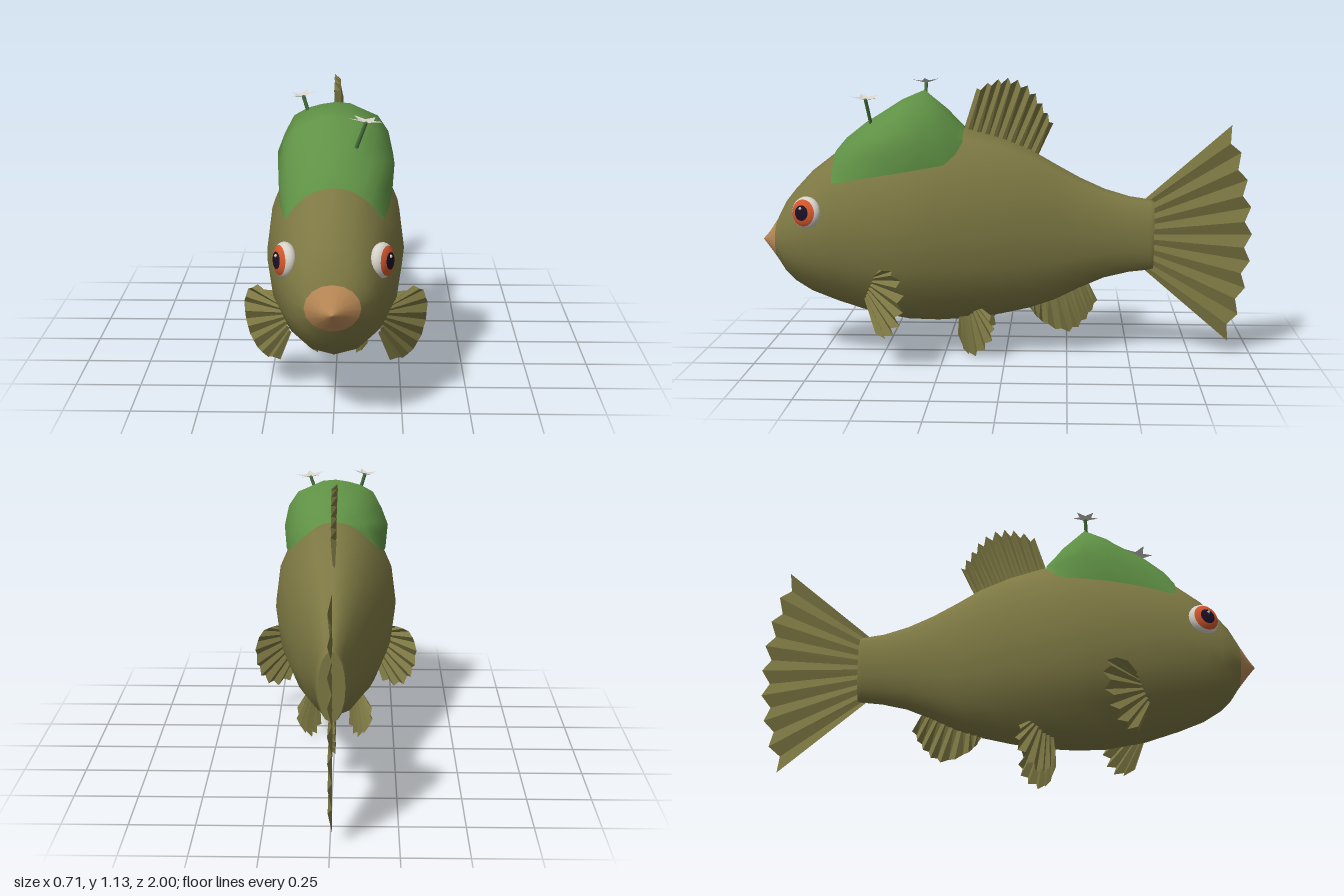
import * as THREE from 'three';
import { mergeVertices } from 'three/addons/utils/BufferGeometryUtils.js';

const mat = (name, color, side = THREE.DoubleSide) => {
  const m = new THREE.MeshStandardMaterial({ color, side });
  m.name = name;
  return m;
};
const V = (x, y, z) => new THREE.Vector3(x, y, z);

// Body stations from nose to tail: z, top, bottom, half width
const STATIONS = [
  [1.0, 0.472, 0.468, 0.002], [0.975, 0.5, 0.44, 0.04], [0.935, 0.56, 0.39, 0.1],
  [0.9, 0.63, 0.335, 0.135], [0.86, 0.68, 0.295, 0.162], [0.79, 0.755, 0.25, 0.192],
  [0.69, 0.832, 0.21, 0.222], [0.55, 0.89, 0.165, 0.25], [0.4, 0.935, 0.138, 0.26],
  [0.28, 0.945, 0.135, 0.255], [0.15, 0.925, 0.143, 0.236], [0.02, 0.89, 0.163, 0.207],
  [-0.1, 0.843, 0.19, 0.172], [-0.2, 0.785, 0.225, 0.138], [-0.3, 0.73, 0.275, 0.108],
  [-0.4, 0.685, 0.318, 0.085], [-0.5, 0.655, 0.342, 0.066], [-0.585, 0.642, 0.352, 0.06],
  [-0.6, 0.635, 0.357, 0.052],
];

// Ellipse of the body at a given z
function section(z) {
  let i = 0;
  while (i < STATIONS.length - 2 && STATIONS[i + 1][0] > z) i++;
  const a = STATIONS[i], b = STATIONS[i + 1];
  const t = (z - a[0]) / (b[0] - a[0]);
  const [top, bottom, w] = [1, 2, 3].map((k) => a[k] + (b[k] - a[k]) * t);
  return { c: (top + bottom) / 2, h: (top - bottom) / 2, w };
}

// Smooth surface through rows of points
function grid(rows) {
  const n = rows[0].length, index = [];
  for (let i = 0; i < rows.length - 1; i++) {
    for (let j = 0; j < n - 1; j++) {
      const a = i * n + j, c = a + n;
      index.push(a, c, a + 1, a + 1, c, c + 1);
    }
  }
  const g = new THREE.BufferGeometry().setFromPoints(rows.flat());
  g.setIndex(index);
  const merged = mergeVertices(g, 1e-5);
  merged.computeVertexNormals();
  return merged;
}

function loft(stations, sides = 16) {
  return grid(stations.map(([z]) => {
    const s = section(z);
    return Array.from({ length: sides + 1 }, (_, j) => {
      const a = ((j % sides) / sides) * Math.PI * 2 - Math.PI / 2;
      return V(Math.cos(a) * s.w, s.c + Math.sin(a) * s.h, z);
    });
  }));
}

// Pleated fan between a straight root and a toothed tip curve, faceted
function fan(root, tips, rays, place, normal, amp = 0.009, bite = 0.1) {
  const curve = new THREE.CatmullRomCurve3(tips.map(([u, v]) => V(u, v, 0)));
  const [r0, r1] = root.map(([u, v]) => V(u, v, 0));
  const rows = [[], []];
  for (let i = 0; i <= rays; i++) {
    const r = r0.clone().lerp(r1, i / rays);
    const t = curve.getPoint(i / rays);
    if (i % 2) t.lerp(r, bite);
    const side = i % 2 ? 1 : -1;
    rows[0].push(place(r.x, r.y).addScaledVector(normal, side * amp * 0.3));
    rows[1].push(place(t.x, t.y).addScaledVector(normal, side * amp));
  }
  const g = grid(rows).toNonIndexed();
  g.computeVertexNormals();
  return g;
}

// Raised cap lying over the back: z, edge height, thickness
function mossGeometry() {
  const rows = [
    [0.69, 0.72, 0.004], [0.65, 0.722, 0.035], [0.57, 0.74, 0.065], [0.5, 0.752, 0.085],
    [0.42, 0.765, 0.112], [0.33, 0.78, 0.138], [0.24, 0.795, 0.065],
    [0.195, 0.835, 0.025], [0.17, 0.88, 0.004],
  ];
  return grid(rows.map(([z, edge, thick], i) => {
    const s = section(z), a0 = Math.asin((edge - s.c) / s.h), n = 12;
    return Array.from({ length: n + 1 }, (_, j) => {
      const u = (j / n) * 2 - 1;
      const a = Math.PI / 2 + u * (Math.PI / 2 - a0);
      const lump = 1 + 0.12 * Math.sin(j * 2.1 + i * 1.7) * Math.abs(u);
      const out = thick * (1 - Math.abs(u) ** 4) * lump + 0.005;
      const x = Math.cos(a) * s.w, y = Math.sin(a) * s.h, l = Math.hypot(x, y);
      return V(x * (1 + out / l), s.c + y * (1 + out / l), z);
    });
  }));
}

// Five-pointed blossom with raised tips
function blossomGeometry(r) {
  const pts = [V(0, 0, 0)], index = [];
  for (let i = 0; i < 10; i++) {
    const a = (i / 10) * Math.PI * 2, q = i % 2 ? r * 0.45 : r;
    pts.push(V(Math.sin(a) * q, i % 2 ? 0.008 : 0.014, Math.cos(a) * q));
    index.push(0, i + 1, ((i + 1) % 10) + 1);
  }
  const g = new THREE.BufferGeometry().setFromPoints(pts);
  g.setIndex(index);
  const flat = g.toNonIndexed();
  flat.computeVertexNormals();
  return flat;
}

export function createModel() {
  const olive = mat('olive skin', 0x7d7843);
  const moss = mat('moss green', 0x5f9145);
  const lip = mat('tan mouth', 0xb88855);
  const white = mat('off white', 0xd6d2ca);
  const orange = mat('orange iris', 0xd2572c);
  const dark = mat('dark pupil', 0x1c1026);
  const stemGreen = mat('stem green', 0x47703a);

  const model = new THREE.Group();
  model.name = 'fish';
  const add = (name, geometry, material, parent = model) => {
    const m = new THREE.Mesh(geometry, material);
    m.name = name;
    parent.add(m);
    return m;
  };

  // Body, mouth and the flat tail root
  add('mouth', loft(STATIONS.slice(0, 3)), lip);
  add('body', loft(STATIONS.slice(2)), olive);
  const end = section(-0.6);
  const cap = add('tailRoot', new THREE.CircleGeometry(1, 16), olive);
  cap.scale.set(end.w, end.h, 1);
  cap.rotation.y = Math.PI;
  cap.position.set(0, end.c, -0.6);
  add('mossBack', mossGeometry(), moss);

  // Fins on the centre line, outlined as z, y
  const mid = (z, y) => V(0, y, z), X = V(1, 0, 0);
  const tailTips = [];
  for (let i = 0; i <= 8; i++) {
    const s = i / 4 - 1;
    tailTips.push([-0.91 - 0.09 * (1 - s * s), 0.5 - s * 0.445]);
  }
  add('tailFin', fan([[-0.56, 0.64], [-0.56, 0.355]], tailTips, 16, mid, X, 0.008, 0.07), olive);
  add('dorsalFin', fan([[0.18, 0.9], [-0.12, 0.8]],
    [[0.12, 1.09], [0.04, 1.125], [-0.03, 1.13], [-0.1, 1.09], [-0.15, 1.02], [-0.19, 0.95]],
    18, mid, X, 0.012, 0.08), olive);
  add('analFin', fan([[-0.08, 0.21], [-0.33, 0.31]],
    [[-0.11, 0.17], [-0.15, 0.125], [-0.26, 0.085], [-0.33, 0.14], [-0.375, 0.22]],
    16, mid, X, 0.01, 0.1), olive);

  for (const s of [1, -1]) {
    const side = s > 0 ? 'left' : 'right';
    // Paired fins, outlined as x, y and swept backwards
    const pectoral = (x, y) => V(s * x, y, 0.39 + (0.36 - x) * 0.9);
    const pelvic = (x, y) => V(s * x, y, 0.05 + (0.155 - x) * 1.5);
    add(side + 'PectoralFin', fan([[0.225, 0.37], [0.165, 0.25]],
      [[0.24, 0.39], [0.32, 0.39], [0.358, 0.33], [0.355, 0.24], [0.33, 0.165], [0.28, 0.115], [0.215, 0.12]],
      16, pectoral, V(s * 0.67, 0, 0.74)), olive);
    add(side + 'PelvicFin', fan([[0.125, 0.21], [0.06, 0.17]],
      [[0.148, 0.185], [0.158, 0.11], [0.135, 0.045], [0.1, 0.003], [0.075, 0.02], [0.055, 0.12]],
      14, pelvic, V(s * 0.83, 0, 0.55)), olive);

    // Eye made of nested bands on a flattened ball
    const axis = V(s * 0.88, 0.08, 0.45).normalize();
    const eye = new THREE.Group();
    eye.name = side + 'Eye';
    eye.position.set(s * 0.172, 0.605, 0.79);
    eye.quaternion.setFromUnitVectors(V(0, 1, 0), axis);
    model.add(eye);
    const bands = [['pupil', 0, 0.5, dark], ['iris', 0.5, 0.97, orange], ['eyeWhite', 0.97, Math.PI, white]];
    for (const [name, t0, t1, m] of bands) {
      const g = new THREE.SphereGeometry(1, 24, 8, 0, Math.PI * 2, t0, t1 - t0);
      add(name, g, m, eye).scale.set(0.065, 0.038, 0.065);
    }
    const glint = add(side + 'EyeGlint', new THREE.SphereGeometry(0.006, 10, 8), white);
    glint.position.copy(eye.position).addScaledVector(axis, 0.034).add(V(0, 0.018, 0.004));
  }

  // Two flowers growing from the moss
  const flowers = [
    [V(-0.09, 1.0, 0.34), V(-0.122, 1.105, 0.335), 0.056, 0.15, 0.3],
    [V(0.078, 0.955, 0.54), V(0.112, 1.05, 0.555), 0.067, -0.12, 0.1],
  ];
  for (const [base, top, r, tilt, turn] of flowers) {
    const path = new THREE.LineCurve3(base, top);
    add('flowerStem', new THREE.TubeGeometry(path, 1, 0.007, 8), stemGreen);
    const head = new THREE.Group();
    head.name = 'flowerHead';
    head.position.copy(top);
    head.rotation.set(0, turn, tilt);
    model.add(head);
    add('petals', blossomGeometry(r), white, head);
    add('flowerCentre', new THREE.SphereGeometry(0.006, 8, 6), stemGreen, head);
  }
  return model;
}
